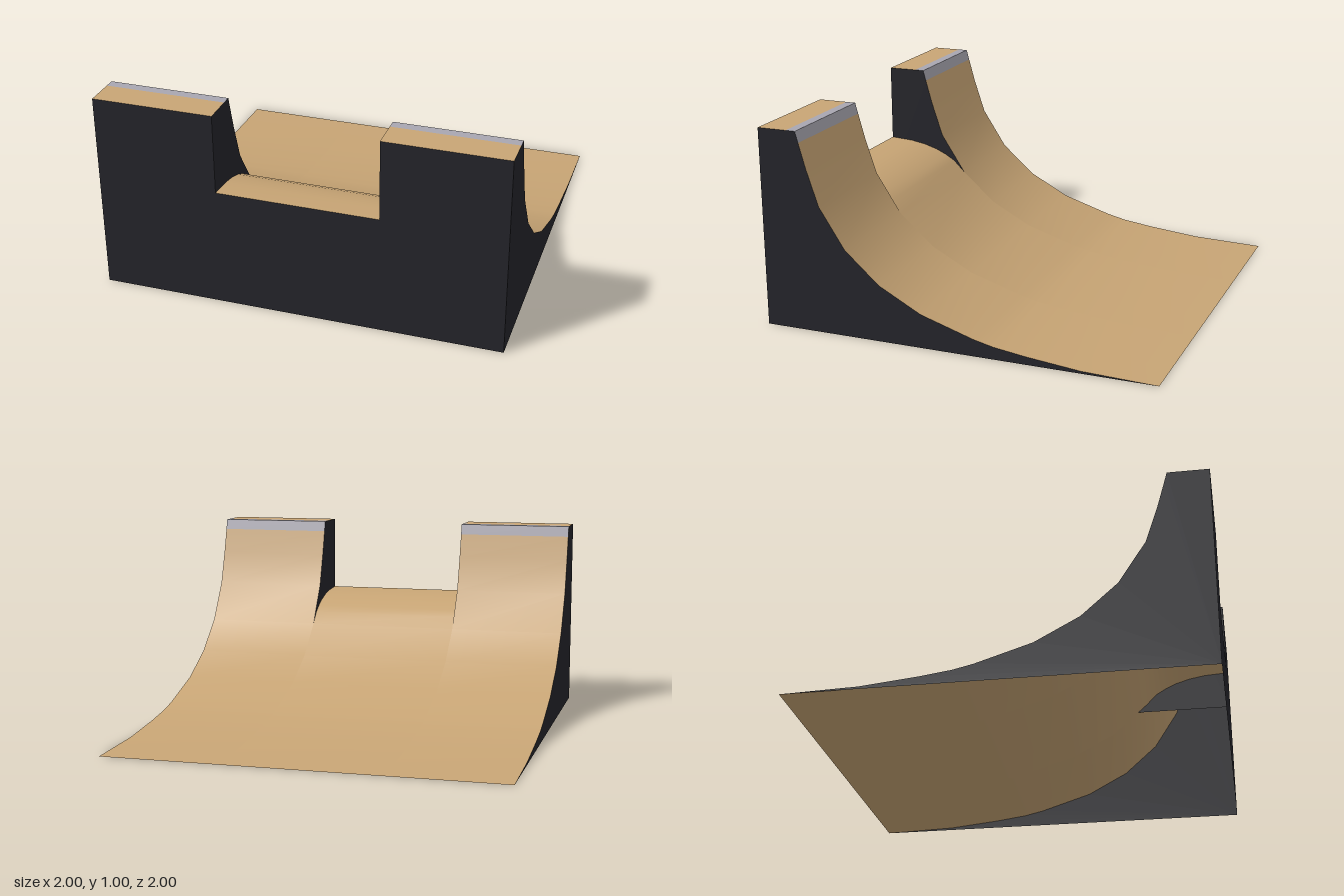
import * as THREE from 'three';

const paint = (color) => new THREE.MeshStandardMaterial({ color, side: THREE.DoubleSide });

// Profiles as [z, y] points, running from the back (-z) to the front (+z)
const lowerCurve = [[-1, 0], [-0.63, 0.012], [-0.36, 0.04], [-0.2, 0.062], [-0.1, 0.085],
  [0.17, 0.17], [0.385, 0.285], [0.56, 0.44]];
const lipFoot = [0.785, 0.945];
const upperCurve = [[0.69, 0.64], [0.75, 0.82], lipFoot];
const rollIn = [[0.62, 0.5], [0.67, 0.53], [0.727, 0.556], [0.8, 0.578], [0.88, 0.592], [1, 0.6]];

// Smooth sheet that sweeps a profile from x0 to x1
function sheet(profile, x0, x1) {
  const pos = [], index = [];
  profile.forEach(([z, y], i) => {
    pos.push(x0, y, z, x1, y, z);
    if (i) {
      const a = 2 * i - 2;
      index.push(a, a + 2, a + 1, a + 1, a + 2, a + 3);
    }
  });
  const g = new THREE.BufferGeometry();
  g.setAttribute('position', new THREE.Float32BufferAttribute(pos, 3));
  g.setIndex(index);
  g.computeVertexNormals();
  return g;
}

const flat = (points) => new THREE.ShapeGeometry(
  new THREE.Shape(points.map(([a, b]) => new THREE.Vector2(a, b))));

// Flat panel outlined in [z, y], standing at a given x
const sidePanel = (points, x) => flat(points).rotateY(-Math.PI / 2).translate(x, 0, 0);

export function createModel() {
  const model = new THREE.Group();
  const wood = paint(0xc8a575), metal = paint(0xa8a6b0), dark = paint(0x24242a);
  const add = (name, geometry, material) => {
    const mesh = new THREE.Mesh(geometry, material);
    mesh.name = name;
    model.add(mesh);
  };

  // Middle lane with the lower roll-in
  add('rollInSurface', sheet([...lowerCurve, ...rollIn], -0.4, 0.4), wood);

  // Full-height lanes on both sides
  for (const [side, s] of [['left', 1], ['right', -1]]) {
    const x0 = s > 0 ? 0.4 : -1, x1 = x0 + 0.6;
    add(side + 'RampSurface', sheet([...lowerCurve, ...upperCurve], x0, x1), wood);
    add(side + 'CopingFace', sheet([lipFoot, [0.8, 1]], x0, x1), metal);
    add(side + 'CopingTop', sheet([[0.8, 1], [0.85, 1]], x0, x1), metal);
    add(side + 'Deck', sheet([[0.85, 1], [1, 1]], x0, x1), wood);
    add(side + 'OuterWall',
      sidePanel([...lowerCurve, ...upperCurve, [0.8, 1], [1, 1], [1, 0]], s), dark);
    // Wall beside the gap, reaching a little below the roll-in
    add(side + 'GapWall',
      sidePanel([[0.515, 0.4], [0.56, 0.44], ...upperCurve, [0.8, 1], [1, 1], [1, 0.4]], s * 0.4), dark);
  }

  // Front wall with the gap cut out; the underside stays open
  add('frontWall', flat([[-1, 0], [1, 0], [1, 1], [0.4, 1], [0.4, 0.6],
    [-0.4, 0.6], [-0.4, 1], [-1, 1]]).translate(0, 0, 1), dark);

  return model;
}
